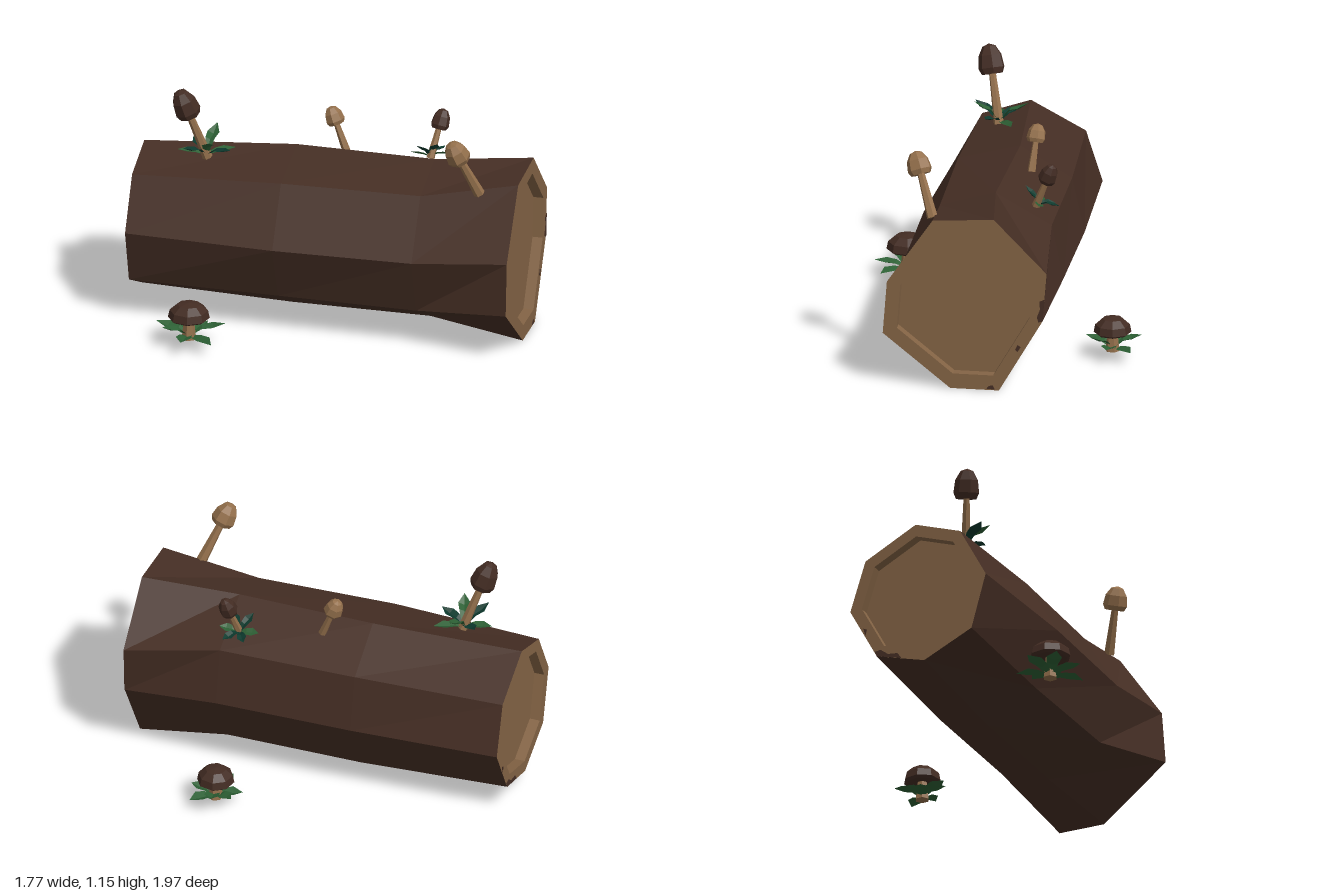
import * as THREE from 'three';

const flat = (name, color, side = THREE.FrontSide) =>
  new THREE.MeshStandardMaterial({ name, color, flatShading: true, side });

export function createModel() {
  const bark = flat('bark', 0x452e24);
  const wood = flat('cutWood', 0x846445);
  const tan = flat('paleMushroom', 0x94704c);
  const brown = flat('brownMushroom', 0x432c23);
  const darkLeaf = flat('darkLeaf', 0x0d3a2e, THREE.DoubleSide);
  const greenLeaf = flat('greenLeaf', 0x2c5f34, THREE.DoubleSide);

  const model = new THREE.Group();
  model.name = 'mushroomLog';

  function add(parent, name, geometry, material) {
    const mesh = new THREE.Mesh(geometry, material);
    mesh.name = name;
    parent.add(mesh);
    return mesh;
  }

  function triangles(positions) {
    const g = new THREE.BufferGeometry();
    g.setAttribute('position', new THREE.Float32BufferAttribute(positions, 3));
    g.computeVertexNormals();
    return g;
  }

  // Skin between successive rings of equal point count
  function loft(rings) {
    const out = [];
    for (let i = 0; i < rings.length - 1; i++) {
      const a = rings[i], b = rings[i + 1], n = a.length;
      for (let k = 0; k < n; k++) {
        const j = (k + 1) % n;
        out.push(...a[k], ...b[k], ...b[j], ...a[k], ...b[j], ...a[j]);
      }
    }
    return triangles(out);
  }

  // Log: uneven octagonal cross-sections (across, up), laid diagonally
  const log = new THREE.Group();
  log.name = 'log';
  log.position.set(0.035, 0, -0.0175);
  log.rotation.y = 0.618;
  model.add(log);

  const backEnd = [[0.015, 0.8], [0.28, 0.66], [0.36, 0.41], [0.22, 0.15],
    [-0.03, 0.08], [-0.28, 0.2], [-0.355, 0.47], [-0.22, 0.72]];
  const midBack = [[0.08, 0.83], [0.33, 0.68], [0.39, 0.41], [0.24, 0.13],
    [-0.01, 0.05], [-0.27, 0.19], [-0.385, 0.47], [-0.22, 0.75]];
  const midFront = [[0.07, 0.83], [0.34, 0.68], [0.395, 0.41], [0.24, 0.13],
    [-0.01, 0.05], [-0.28, 0.19], [-0.37, 0.47], [-0.2, 0.75]];
  const frontEnd = [[0.135, 0.86], [0.39, 0.6], [0.37, 0.36], [0.16, 0],
    [-0.075, 0], [-0.4, 0.26], [-0.38, 0.52], [-0.16, 0.84]];

  const ring = (pts, z, scale = 1, cy = 0.435) =>
    pts.map(([s, y]) => [s * scale, cy + (y - cy) * scale, z]);
  const L = 0.941, depth = 0.05, inset = 0.83;

  add(log, 'bark', loft([ring(backEnd, -L), ring(midBack, -0.21),
    ring(midFront, 0.47), ring(frontEnd, L)]), bark);
  // Sawn ends: raised rim around a recessed face
  add(log, 'frontCut', loft([ring(frontEnd, L), ring(frontEnd, L, inset),
    ring(frontEnd, L - depth, inset), ring(frontEnd, L - depth, 0)]), wood);
  add(log, 'backCut', loft([ring(backEnd, depth - L, 0), ring(backEnd, depth - L, inset),
    ring(backEnd, -L, inset), ring(backEnd, -L)]), wood);

  // Bark chips lapping over the rims
  function chip(points, z) {
    const shape = new THREE.Shape(points.map(([x, y]) => new THREE.Vector2(x, y)));
    const g = new THREE.ExtrudeGeometry(shape, { depth: 0.004, bevelEnabled: false });
    add(log, 'barkChip', g.translate(0, 0, z - 0.002), bark);
  }
  chip([[0.37, 0.36], [0.379, 0.47], [0.355, 0.46], [0.358, 0.42], [0.343, 0.38], [0.35, 0.355]], L);
  chip([[0.25, 0.2], [0.265, 0.225], [0.25, 0.235], [0.238, 0.21]], L);
  chip([[0.1, 0.005], [0.14, 0.005], [0.13, 0.025], [0.11, 0.02]], L);
  chip([[0.22, 0.15], [0.09, 0.115], [0.11, 0.145], [0.16, 0.15], [0.2, 0.18], [0.23, 0.175]], -L);
  chip([[0.28, 0.27], [0.29, 0.31], [0.272, 0.3]], -L);

  // One creased, drooping blade pointing along +x
  function leafGeometry(len, width, rise) {
    const rows = [[0, 0.3, 0], [0.35, 0.8, 0.55], [0.65, 1, 0.65], [1, 0, 1]].map(([t, w, h]) => {
      const x = t * len, y = h * rise, z = w * width / 2;
      return [[x, y + z * 0.4, -z], [x, y, 0], [x, y + z * 0.4, z]];
    });
    const out = [];
    for (let i = 0; i < 3; i++) {
      for (let k = 0; k < 2; k++) {
        const a = rows[i][k], b = rows[i][k + 1], c = rows[i + 1][k], d = rows[i + 1][k + 1];
        out.push(...a, ...b, ...d, ...a, ...d, ...c);
      }
    }
    return triangles(out);
  }

  // Rosette of leaves, alternating in length, rise and colour
  function leaves(name, pos, { count, len, width, rise, mats, turn = 0, tilt = [0, 0] }) {
    const group = new THREE.Group();
    group.name = name;
    group.position.set(...pos);
    group.rotation.set(tilt[0], 0, tilt[1]);
    for (let i = 0; i < count; i++) {
      const l = len * [1, 0.8, 0.92][i % 3];
      const g = leafGeometry(l, width, rise * [1, 0.5, 0.2, 0.7][i % 4]);
      add(group, 'leaf', g, mats[i % mats.length]).rotation.y = turn + i / count * Math.PI * 2;
    }
    model.add(group);
  }

  // Stem and lathed cap, both leaning from base towards top
  function mushroom(name, base, top, { capR, capH, stemR, capMat, profile, sides = 7 }) {
    const a = new THREE.Vector3(...base), dir = new THREE.Vector3(...top).sub(a);
    const height = dir.length();
    const group = new THREE.Group();
    group.name = name;
    group.position.copy(a);
    group.quaternion.setFromUnitVectors(new THREE.Vector3(0, 1, 0), dir.normalize());
    const stemH = height - capH * 0.6;
    const stem = new THREE.CylinderGeometry(stemR * 0.6, stemR, stemH, 6);
    add(group, 'stem', stem.translate(0, stemH / 2, 0), tan);
    const pts = profile.map(([r, h]) => new THREE.Vector2(r * capR, height - capH + h * capH));
    add(group, 'cap', new THREE.LatheGeometry(pts, sides), capMat);
    model.add(group);
  }

  const bell = [[0, 0.12], [0.8, 0], [1, 0.2], [0.88, 0.62], [0.5, 0.92], [0, 1]];
  const dome = [[0, 0.08], [0.85, 0], [1, 0.12], [0.92, 0.55], [0.55, 0.9], [0, 1]];

  // Mushrooms growing on the log
  mushroom('tallBrownMushroom', [-0.385, 0.79, -0.46], [-0.512, 1.15, -0.52],
    { capR: 0.064, capH: 0.145, stemR: 0.025, capMat: brown, profile: bell });
  mushroom('leaningPaleMushroom', [0.32, 0.79, 0.71], [0.17, 1.08, 0.675],
    { capR: 0.06, capH: 0.115, stemR: 0.027, capMat: tan, profile: bell });
  mushroom('smallPaleMushroom', [0.18, 0.78, -0.105], [0.147, 0.995, -0.185],
    { capR: 0.047, capH: 0.09, stemR: 0.02, capMat: tan, profile: bell });
  mushroom('smallBrownMushroom', [0.475, 0.75, 0.165], [0.573, 0.975, 0.15],
    { capR: 0.045, capH: 0.1, stemR: 0.02, capMat: brown, profile: bell });

  leaves('tallMushroomLeaves', [-0.39, 0.8, -0.465],
    { count: 7, len: 0.15, width: 0.06, rise: 0.11, turn: 0.5, mats: [greenLeaf, darkLeaf] });
  leaves('smallMushroomLeaves', [0.48, 0.755, 0.155],
    { count: 6, len: 0.105, width: 0.045, rise: 0.06, turn: 0.2, tilt: [-0.25, -0.35], mats: [darkLeaf, darkLeaf, greenLeaf] });

  // Broad mushrooms standing on the ground on both sides
  const ground = [
    ['rightGroundMushroom', -0.73, -0.19, 0.1, 0.22, 0.175],
    ['leftGroundMushroom', 0.765, -0.06, 0.09, 0.205, 0.14],
  ];
  for (const [name, x, z, capR, top, len] of ground) {
    mushroom(name, [x, 0.035, z], [x, top, z],
      { capR, capH: 0.085, stemR: 0.035, capMat: brown, profile: dome, sides: 8 });
    leaves(name + 'Leaves', [x, 0.045, z],
      { count: 7, len, width: 0.075, rise: 0.07, turn: x, mats: [greenLeaf] });
  }

  return model;
}
